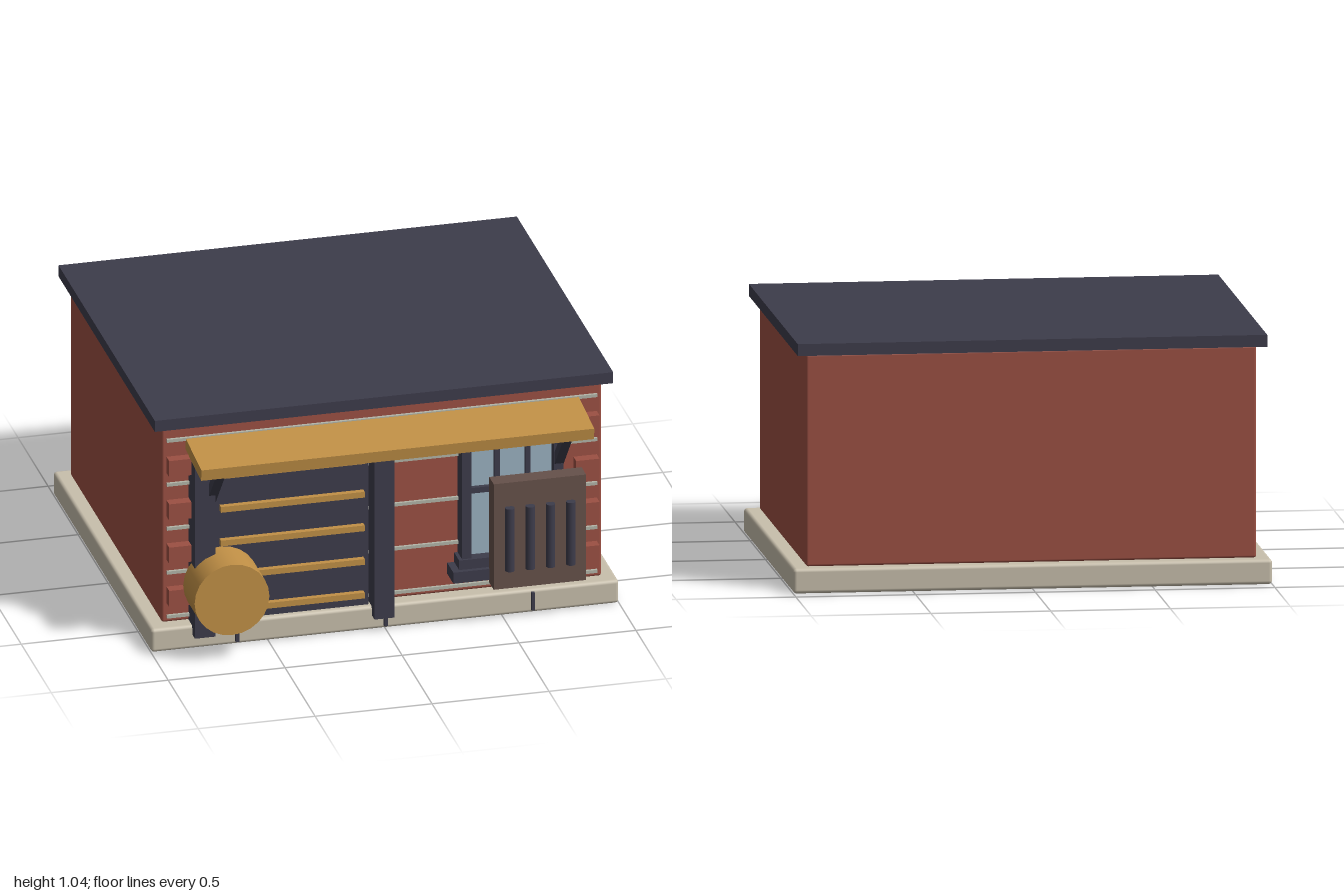
import * as THREE from 'three';
import { RoundedBoxGeometry } from 'three/addons/geometries/RoundedBoxGeometry.js';

const mat = (name, color) => {
  const m = new THREE.MeshStandardMaterial({ color });
  m.name = name;
  return m;
};

export function createModel() {
  const red = mat('brick red', 0x9c5043);
  const dark = mat('dark slate', 0x3d3c4b);
  const gold = mat('golden wood', 0xc19046);
  const stone = mat('pale stone', 0xc8bfac);
  const brown = mat('brown wood', 0x66514a);
  const glass = mat('window glass', 0x9bb2c1);
  const mortar = mat('mortar', 0xb3b5a8);

  const model = new THREE.Group();
  model.name = 'shopBuilding';

  const add = (name, geometry, material, x = 0, y = 0, z = 0, parent = model) => {
    const mesh = new THREE.Mesh(geometry, material);
    mesh.name = name;
    mesh.position.set(x, y, z);
    parent.add(mesh);
    return mesh;
  };
  // Box given by its limits on each axis, with an optional rounded edge
  const box = (name, material, [x0, x1], [y0, y1], [z0, z1], parent = model, round = 0) => {
    const s = [x1 - x0, y1 - y0, z1 - z0];
    const g = round ? new RoundedBoxGeometry(...s, 2, round) : new THREE.BoxGeometry(...s);
    return add(name, g, material, (x0 + x1) / 2, (y0 + y1) / 2, (z0 + z1) / 2, parent);
  };
  const group = (name) => {
    const g = new THREE.Group();
    g.name = name;
    model.add(g);
    return g;
  };

  // Main masses
  box('foundation', stone, [-1, 1], [0.005, 0.11], [-0.92, 0.72], model, 0.015);
  box('walls', red, [-0.94, 0.94], [0.11, 1.0], [-0.865, 0.66], model, 0.01);
  box('roofSlab', dark, [-0.98, 0.98], [1.0, 1.05], [-0.905, 0.7]);

  // Foundation joints
  for (const x of [-0.635, 0, 0.63]) {
    box('foundationJoint', dark, [x - 0.007, x + 0.007], [0.02, 0.1], [0.7, 0.735]);
  }

  // Mortar courses and projecting corner bricks
  const brickwork = group('brickwork');
  for (let i = 0; i < 5; i++) {
    const y = 0.138 + i * 0.2;
    box('mortarLine', mortar, [-0.92, 0.92], [y - 0.007, y + 0.007], [0.65, 0.672], brickwork);
  }
  for (let i = 0; i < 4; i++) {
    const y = 0.235 + i * 0.197;
    for (const x of [-0.87, 0.87]) {
      box('cornerBrick', red, [x - 0.05, x + 0.05], [y - 0.037, y + 0.037], [0.65, 0.706], brickwork);
    }
  }

  // Door with slats, posts and lintel
  const door = group('door');
  box('doorPanel', dark, [-0.725, -0.068], [0.115, 0.87], [0.65, 0.705], door);
  for (let i = 0; i < 5; i++) {
    const y = 0.168 + i * 0.153;
    box('doorSlat', gold, [-0.705, -0.09], [y - 0.013, y + 0.013], [0.7, 0.73], door);
  }
  box('doorPost', dark, [-0.825, -0.738], [0.07, 0.88], [0.66, 0.765], door);
  box('doorPost', dark, [-0.057, 0.027], [0.07, 0.88], [0.66, 0.765], door);
  box('doorLintel', dark, [-0.825, 0.027], [0.855, 0.88], [0.66, 0.765], door);

  // Window
  const win = group('window');
  box('windowGlass', glass, [0.36, 0.725], [0.28, 0.8], [0.65, 0.695], win);
  box('windowJamb', dark, [0.325, 0.365], [0.24, 0.85], [0.65, 0.735], win);
  box('windowJamb', dark, [0.718, 0.758], [0.24, 0.85], [0.65, 0.735], win);
  box('windowHead', dark, [0.31, 0.775], [0.79, 0.832], [0.65, 0.745], win);
  box('windowBottomRail', dark, [0.31, 0.775], [0.245, 0.288], [0.65, 0.745], win);
  box('windowSill', dark, [0.28, 0.805], [0.195, 0.245], [0.65, 0.765], win);
  for (const x of [0.48, 0.612]) {
    box('windowMullion', dark, [x - 0.011, x + 0.011], [0.28, 0.8], [0.68, 0.715], win);
  }
  box('windowCrossbar', dark, [0.36, 0.725], [0.573, 0.598], [0.68, 0.715], win);

  // Sloping awning on diagonal struts
  const awning = group('awning');
  const canopy = add('canopy', new THREE.BoxGeometry(1.68, 0.05, 0.265), gold, 0, 0.901, 0.797, awning);
  canopy.rotation.x = 0.113;
  for (const x of [-0.745, 0.74]) {
    const strut = add('strut', new THREE.BoxGeometry(0.04, 0.285, 0.035), dark, x, 0.77, 0.79, awning);
    strut.rotation.x = Math.atan2(0.185, 0.22);
  }

  // Round wooden sign beside the door
  const disc = add('roundSign', new THREE.CylinderGeometry(0.16, 0.16, 0.19, 24), gold, -0.7, 0.29, 0.8);
  disc.rotation.x = Math.PI / 2;

  // Hanging board with upright rods
  const board = group('board');
  box('boardPanel', brown, [0.435, 0.83], [0.18, 0.66], [0.757, 0.833], board);
  for (let i = 0; i < 4; i++) {
    add('boardRod', new THREE.CylinderGeometry(0.02, 0.02, 0.285, 12), dark, 0.5 + i * 0.087, 0.41, 0.848, board);
  }

  return model;
}
